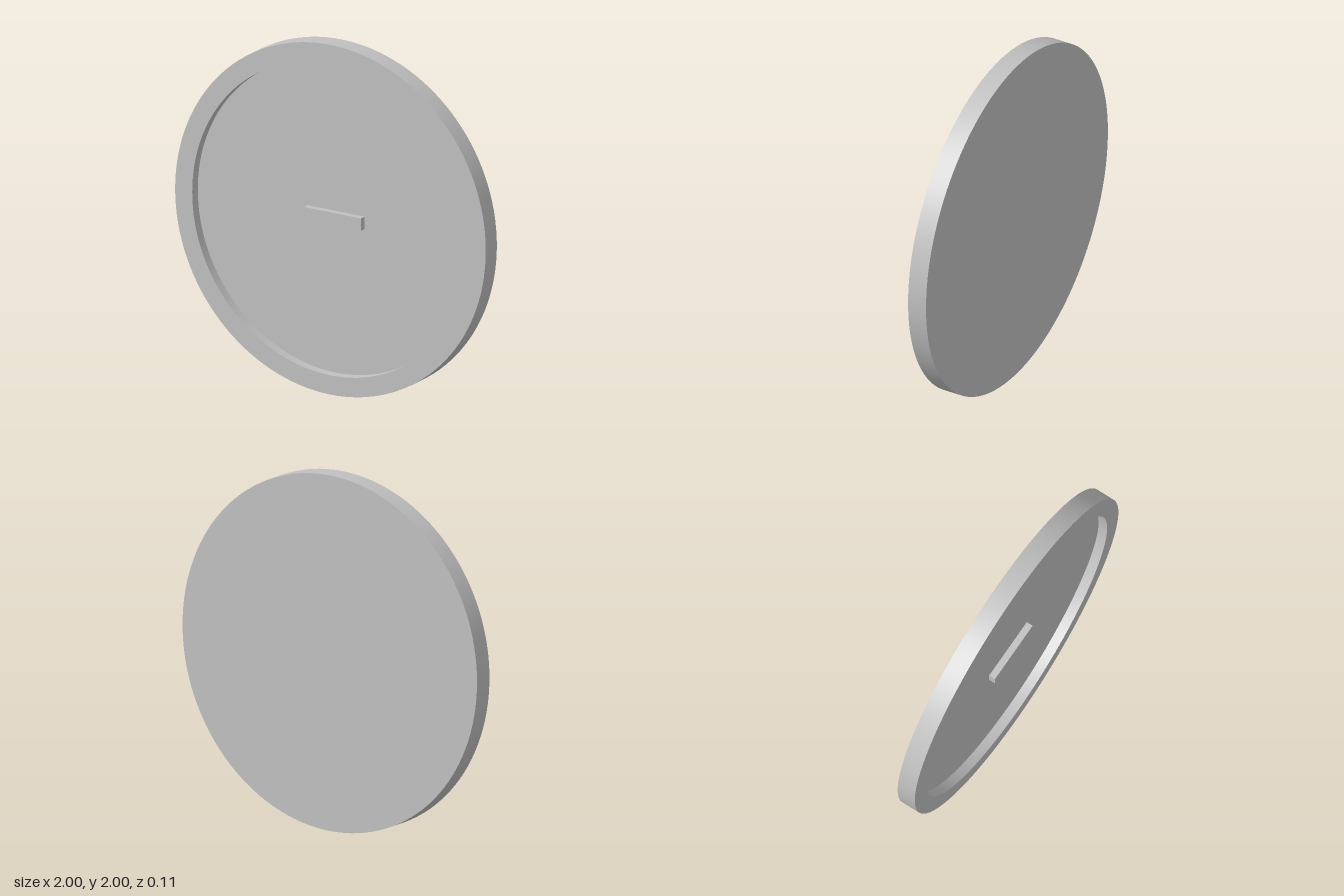
import * as THREE from 'three';
import { toCreasedNormals } from 'three/addons/utils/BufferGeometryUtils.js';

export function createModel() {
  const model = new THREE.Group();
  model.name = 'recessedDisc';

  const grey = new THREE.MeshStandardMaterial({ color: 0xc0c0c0 });
  grey.name = 'grey';

  const radius = 1, recessRadius = 0.89;
  const half = 0.056, floor = 0; // disc half thickness, recess floor

  // Disc with a raised rim around the recessed front, turned to face +z
  const profile = [
    [0, -half], [radius, -half], [radius, half],
    [recessRadius, half], [recessRadius, floor], [0, floor],
  ].map(([x, y]) => new THREE.Vector2(x, y));
  const discGeometry = toCreasedNormals(new THREE.LatheGeometry(profile, 128), Math.PI / 6);
  discGeometry.rotateX(Math.PI / 2);
  const disc = new THREE.Mesh(discGeometry, grey);
  disc.name = 'rimmedDisc';
  disc.position.y = radius;
  model.add(disc);

  // Small bar standing on the recess floor
  const barDepth = 0.038;
  const bar = new THREE.Mesh(new THREE.BoxGeometry(0.37, 0.07, barDepth), grey);
  bar.name = 'centreBar';
  bar.position.set(0, radius, floor + barDepth / 2);
  model.add(bar);

  return model;
}
